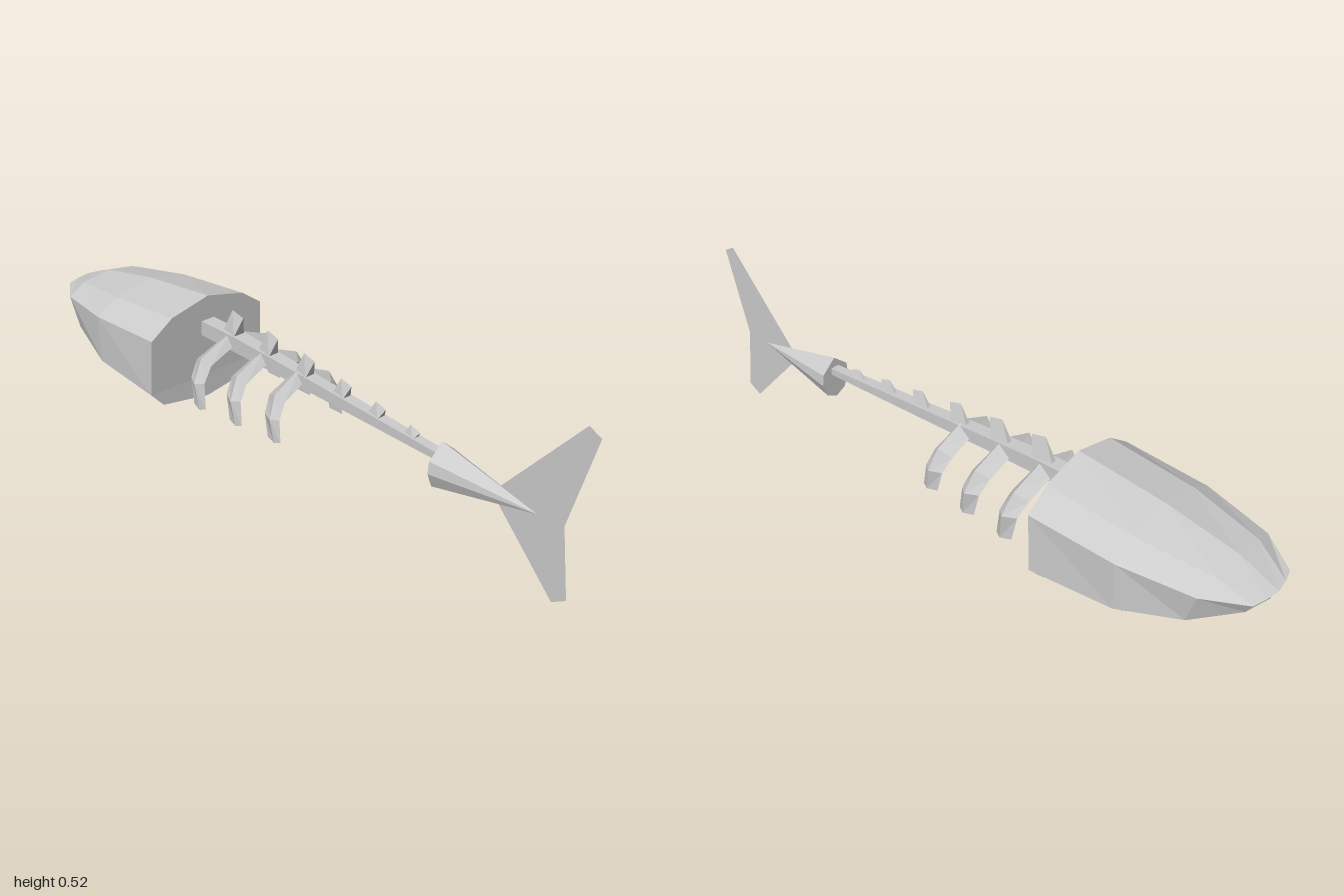
import * as THREE from 'three';
import { ConvexGeometry } from 'three/addons/geometries/ConvexGeometry.js';

const bone = new THREE.MeshStandardMaterial({ color: 0xcccccc, flatShading: true });
const thin = new THREE.MeshStandardMaterial({ color: 0xcccccc, flatShading: true, side: THREE.DoubleSide });

// Skin closed rings of [x, y, z] points, cap both ends and turn the faces outward.
function loft(rings) {
  const tris = [];
  const n = rings[0].length;
  for (let r = 0; r < rings.length - 1; r++) {
    for (let i = 0; i < n; i++) {
      const j = (i + 1) % n;
      const a = rings[r][i], b = rings[r][j], c = rings[r + 1][j], d = rings[r + 1][i];
      tris.push([a, b, c], [a, c, d]);
    }
  }
  const cap = (ring, flip) => {
    const mid = [0, 1, 2].map(k => ring.reduce((s, p) => s + p[k], 0) / n);
    ring.forEach((p, i) => {
      const q = ring[(i + 1) % n];
      tris.push(flip ? [mid, q, p] : [mid, p, q]);
    });
  };
  cap(rings[0], true);
  cap(rings[rings.length - 1], false);
  const volume = tris.reduce((s, [a, b, c]) => s + new THREE.Vector3(...a).dot(
    new THREE.Vector3(...b).cross(new THREE.Vector3(...c))), 0);
  if (volume < 0) tris.forEach(t => t.reverse());
  const geo = new THREE.BufferGeometry();
  geo.setAttribute('position', new THREE.Float32BufferAttribute(tris.flat(2), 3));
  geo.computeVertexNormals();
  return geo;
}

// Half ring from top centre to bottom centre, mirrored across x = 0.
const mirrorRing = half => [...half, ...half.slice(1, -1).reverse().map(([x, y, z]) => [-x, y, z])];

function add(parent, name, geometry, material = bone) {
  const mesh = new THREE.Mesh(geometry, material);
  mesh.name = name;
  parent.add(mesh);
  return mesh;
}

export function createModel() {
  const model = new THREE.Group();
  model.name = 'fishSkeleton';

  // Skull: broad at the neck, narrowing to a blunt snout
  add(model, 'skull', loft([
    [[0, 0.412, -0.385], [0.135, 0.38, -0.387], [0.21, 0.327, -0.39], [0.213, 0.15, -0.4], [0, 0.15, -0.4]],
    [[0, 0.385, -0.66], [0.13, 0.358, -0.66], [0.205, 0.316, -0.66], [0.2, 0.166, -0.66], [0, 0.166, -0.66]],
    [[0, 0.345, -0.88], [0.095, 0.33, -0.88], [0.16, 0.302, -0.87], [0.15, 0.205, -0.84], [0, 0.205, -0.88]],
    [[0, 0.295, -1], [0.045, 0.294, -0.992], [0.085, 0.292, -0.98], [0.08, 0.258, -0.96], [0, 0.258, -0.98]],
  ].map(mirrorRing)));

  // Lower jaw, set back under the snout
  add(model, 'lowerJaw', loft([
    [[0, 0.2, -0.4], [0.213, 0.15, -0.4], [0.17, 0.104, -0.4], [0, 0.076, -0.4]],
    [[0, 0.2, -0.66], [0.195, 0.168, -0.66], [0.155, 0.128, -0.66], [0, 0.108, -0.66]],
    [[0, 0.22, -0.83], [0.14, 0.2, -0.82], [0.11, 0.166, -0.81], [0, 0.152, -0.82]],
    [[0, 0.235, -0.925], [0.07, 0.235, -0.9], [0.06, 0.202, -0.885], [0, 0.19, -0.905]],
  ].map(mirrorRing)));

  // Spine: tapering square rod, rising toward the head
  const spineStations = [ // z, bottom, top, half width
    [-0.42, 0.29, 0.335, 0.024], [-0.27, 0.285, 0.333, 0.023],
    [-0.1, 0.278, 0.321, 0.021], [0.2, 0.264, 0.297, 0.018], [0.56, 0.247, 0.268, 0.014],
  ];
  add(model, 'spine', loft(spineStations.map(([z, b, t, w]) => [[-w, b, z], [w, b, z], [w, t, z], [-w, t, z]])));

  // Spines along the back, leaning toward the tail and shrinking
  [[-0.27, 0.333, 0.402], [-0.12, 0.322, 0.388], [0.03, 0.31, 0.37],
    [0.175, 0.299, 0.346], [0.305, 0.289, 0.326], [0.43, 0.278, 0.306]].forEach(([z, base, top], i) => {
    const w = 0.02 - i * 0.0015, k = 1 - i * 0.06, y = base - 0.006;
    const points = [[-w, y, z + 0.02 * k], [w, y, z + 0.02 * k], [-w * 0.5, y, z - 0.038 * k], [w * 0.5, y, z - 0.038 * k],
      [0, top - 0.012, z + 0.042 * k], [0, top, z - 0.005 * k]].map(p => new THREE.Vector3(...p));
    add(model, 'backSpine', new ConvexGeometry(points));
  });

  // Three pairs of ribs: triangular section, ridge outward
  [[-0.262, 1, 0.012], [-0.118, 0.92, 0.006], [0.029, 0.83, 0]].forEach(([z, s, lift]) => {
    const stations = [ // outer x, outer y, inner x, inner y, z shift, half depth
      [0.015, 0.318 + lift, 0.015, 0.287 + lift, -0.022, 0.03],
      [0.125, 0.276 + lift, 0.108, 0.255 + lift, -0.018, 0.032],
      [0.163, 0.212 + lift, 0.142, 0.212 + lift, -0.008, 0.03],
      [0.155, 0.14, 0.146, 0.145, 0.003, 0.026],
    ];
    for (const side of [-1, 1]) {
      add(model, side > 0 ? 'leftRib' : 'rightRib', loft(stations.map(([ox, oy, ix, iy, dz, d]) => [
        [side * s * ox, oy, z + dz + 0.008],
        [side * s * ix, iy, z + dz + d],
        [side * s * ix, iy, z + dz - d],
      ])));
    }
  });

  // Tail cone: eight-sided base closing to a point
  const tailBase = mirrorRing([[0, 0.302, 0.535], [0.048, 0.261, 0.535], [0.052, 0.225, 0.535],
    [0.035, 0.182, 0.535], [0, 0.164, 0.535]]);
  add(model, 'tailCone', new ConvexGeometry([...tailBase, [0, 0.226, 0.845]].map(p => new THREE.Vector3(...p))));

  // Tail fin: flat forked sheet
  const fin = new THREE.Shape([[1, 0.5], [0.963, 0.52], [0.727, 0.254], [0.727, 0.2],
    [0.909, 0], [0.952, 0.026], [0.925, 0.23]].map(p => new THREE.Vector2(...p)));
  add(model, 'tailFin', new THREE.ShapeGeometry(fin), thin).rotation.y = -Math.PI / 2;

  return model;
}
